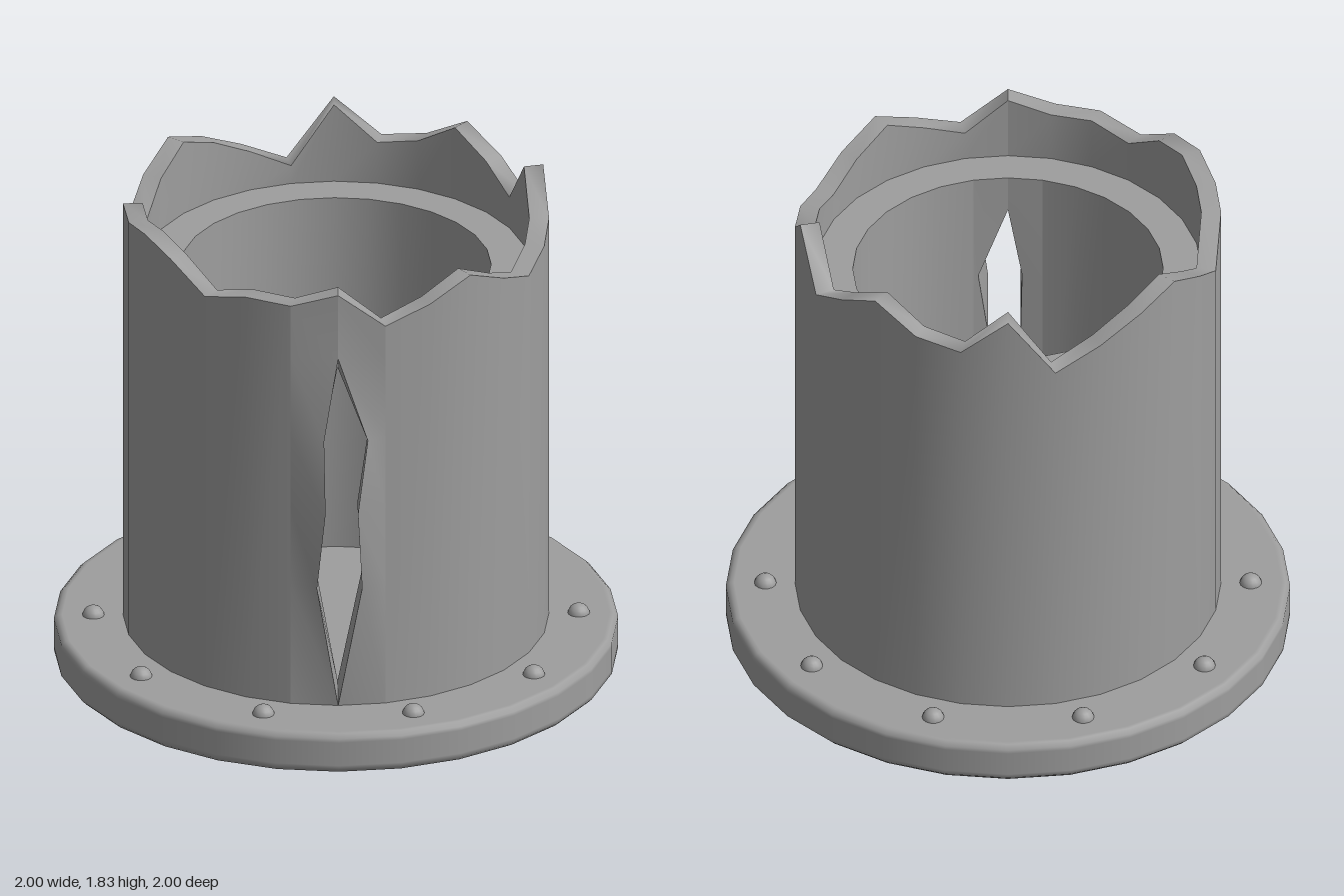
import * as THREE from 'three';
import { toCreasedNormals } from 'three/addons/utils/BufferGeometryUtils.js';

const SIDES = 28, BASE = 0.15, LEDGE = 1.52;
const OUTER = 0.755, INNER = 0.685, BORE = 0.55;

// Broken rim height at each column, from the front (+z) round through +x
const RIM = [1.76, 1.63, 1.69, 1.76, 1.69, 1.63, 1.67, 1.70, 1.83, 1.64, 1.72, 1.80, 1.71, 1.68,
  1.82, 1.59, 1.67, 1.745, 1.80, 1.72, 1.63, 1.765, 1.77, 1.80, 1.77, 1.68, 1.72, 1.71];

// Crack rows: height, left edge x, right edge x, how far the lips bend outward
const CRACK = [
  [0.15, 0, 0, 0], [0.62, -0.075, 0.085, 0.028], [0.92, -0.045, 0.07, 0.045],
  [1.2, -0.05, 0.105, 0.03], [1.51, 0, 0, 0],
];
const innerY = y => BASE + (y - BASE) * 0.905;

const material = new THREE.MeshStandardMaterial({ color: 0x9e9e9e });
const shell = new THREE.MeshStandardMaterial({ color: 0x9e9e9e, side: THREE.DoubleSide });

const rimY = i => RIM[(i + SIDES) % SIDES];
function column(i, r, y) {
  const a = (i / SIDES) * Math.PI * 2;
  return [r * Math.sin(a), y, r * Math.cos(a)];
}
// A run of points around the pipe; y is a number or a function of the column
function run(from, to, r, y) {
  const pts = [];
  for (let i = from; i <= to; i++) pts.push(column(i, r, typeof y === 'function' ? y(i) : y));
  return pts;
}

// Smooth surface between two point lists of equal length
function strip(a, b) {
  const index = [], n = a.length;
  for (let i = 0; i < n - 1; i++) index.push(i, i + 1, n + i + 1, i, n + i + 1, n + i);
  const g = new THREE.BufferGeometry();
  g.setAttribute('position', new THREE.Float32BufferAttribute([...a, ...b].flat(), 3));
  g.setIndex(index);
  g.computeVertexNormals();
  return g;
}

function add(parent, name, geometry, mat = shell) {
  const mesh = new THREE.Mesh(geometry, mat);
  mesh.name = name;
  parent.add(mesh);
  return mesh;
}

export function createModel() {
  const model = new THREE.Group();
  model.name = 'brokenPipe';

  // Flange with softly rounded edges
  const profile = [[0, 0], [0.97, 0], [0.985, 0], [1, 0.015], [1, 0.03], [1, 0.12],
    [1, 0.135], [0.985, BASE], [0.97, BASE], [0, BASE]].map(p => new THREE.Vector2(...p));
  add(model, 'flange', new THREE.LatheGeometry(profile, SIDES), material);

  // Bolts
  const bolts = new THREE.Group();
  bolts.name = 'bolts';
  model.add(bolts);
  const boltGeometry = new THREE.SphereGeometry(0.04, 14, 10);
  for (let i = 0; i < 10; i++) {
    const a = (i / 10) * Math.PI * 2;
    add(bolts, 'bolt', boltGeometry, material).position.set(0.86 * Math.cos(a), 0.145, 0.86 * Math.sin(a));
  }

  // Pipe walls, leaving the two front panels for the crack
  const pipe = new THREE.Group();
  pipe.name = 'pipe';
  model.add(pipe);
  add(pipe, 'outerWall', strip(run(1, 27, OUTER, BASE), run(1, 27, OUTER, rimY)));
  add(pipe, 'boreWall', strip(run(1, 27, BORE, LEDGE), run(1, 27, BORE, BASE)));
  add(pipe, 'upperInnerWall', strip(run(0, SIDES, INNER, rimY), run(0, SIDES, INNER, LEDGE)));
  add(pipe, 'ledge', strip(run(0, SIDES, INNER, LEDGE), run(0, SIDES, BORE, LEDGE)));
  add(pipe, 'brokenRim', strip(run(0, SIDES, OUTER, rimY), run(0, SIDES, INNER, rimY)));

  // Cracked front panels, one on each side of the split
  for (const side of [-1, 1]) {
    const x = row => row[side < 0 ? 1 : 2];
    const lip = CRACK.map(r => [x(r), r[0], Math.sqrt(OUTER ** 2 - x(r) ** 2) + r[3]]);
    const inside = CRACK.map(r => [x(r), innerY(r[0]), Math.sqrt(BORE ** 2 - x(r) ** 2)]);
    const outerEdge = [...CRACK.map(r => column(side, OUTER, r[0])), column(side, OUTER, rimY(side))];
    const boreEdge = [...CRACK.map(r => column(side, BORE, innerY(r[0]))), column(side, BORE, LEDGE)];
    const lipFull = [...lip, column(0, OUTER, rimY(0))];
    const insideFull = [...inside, column(0, BORE, LEDGE)];
    const sided = (a, b) => (side > 0 ? strip(b, a) : strip(a, b));
    add(pipe, 'crackedPanel', sided(lipFull, outerEdge));
    add(pipe, 'crackedBorePanel', sided(boreEdge, insideFull));
    add(pipe, 'crackSide', toCreasedNormals(sided(inside, lip), 0.5));
  }
  return model;
}
